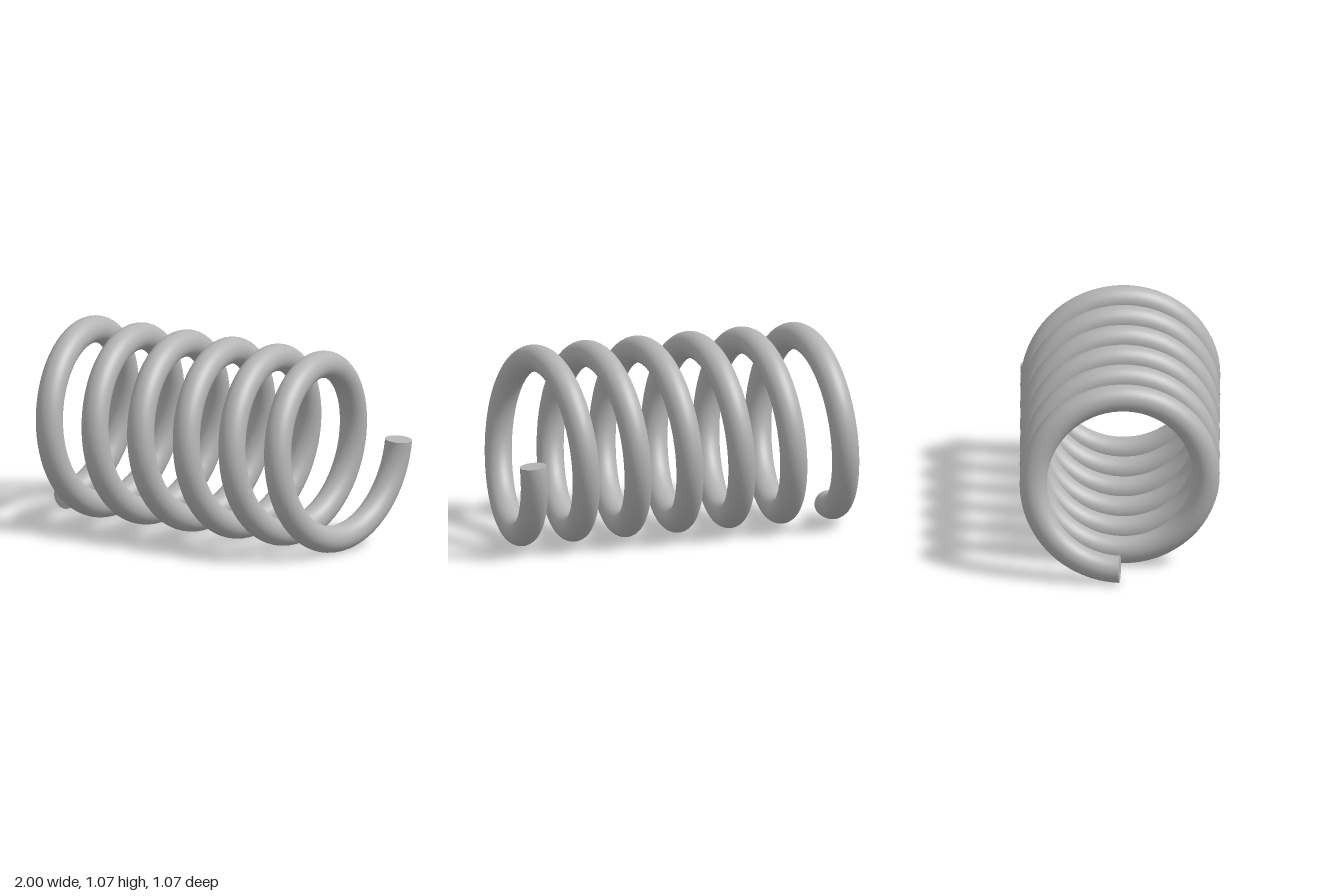
import * as THREE from 'three';

const COIL_RADIUS = 0.464;
const WIRE_RADIUS = 0.073;
const HALF_LENGTH = 0.927;
const TURNS = 6.25;
const AXIS_Y = COIL_RADIUS + WIRE_RADIUS;

// Helix along x, starting at the bottom and rising through the back
class Helix extends THREE.Curve {
  getPoint(t, target = new THREE.Vector3()) {
    const a = t * TURNS * Math.PI * 2;
    return target.set(
      HALF_LENGTH * (2 * t - 1),
      AXIS_Y - COIL_RADIUS * Math.cos(a),
      -COIL_RADIUS * Math.sin(a)
    );
  }

  getTangent(t, target = new THREE.Vector3()) {
    const w = TURNS * Math.PI * 2;
    const a = t * w;
    return target.set(
      2 * HALF_LENGTH,
      COIL_RADIUS * w * Math.sin(a),
      -COIL_RADIUS * w * Math.cos(a)
    ).normalize();
  }
}

export function createModel() {
  const model = new THREE.Group();
  model.name = 'coilSpring';

  const steel = new THREE.MeshStandardMaterial({ color: 0xb4b4b4 });
  steel.name = 'steel grey';

  const helix = new Helix();
  helix.arcLengthDivisions = 500;

  // Wound wire
  const wire = new THREE.Mesh(new THREE.TubeGeometry(helix, 400, WIRE_RADIUS, 32, false), steel);
  wire.name = 'wire';
  model.add(wire);

  // Flat cut ends, square to the wire
  const addCap = (name, t, outward) => {
    const cap = new THREE.Mesh(new THREE.CircleGeometry(WIRE_RADIUS, 32), steel);
    cap.name = name;
    const normal = helix.getTangent(t).multiplyScalar(outward);
    cap.position.copy(helix.getPoint(t));
    cap.quaternion.setFromUnitVectors(new THREE.Vector3(0, 0, 1), normal);
    model.add(cap);
  };
  addCap('rightEndCap', 0, -1);
  addCap('leftEndCap', 1, 1);

  return model;
}
